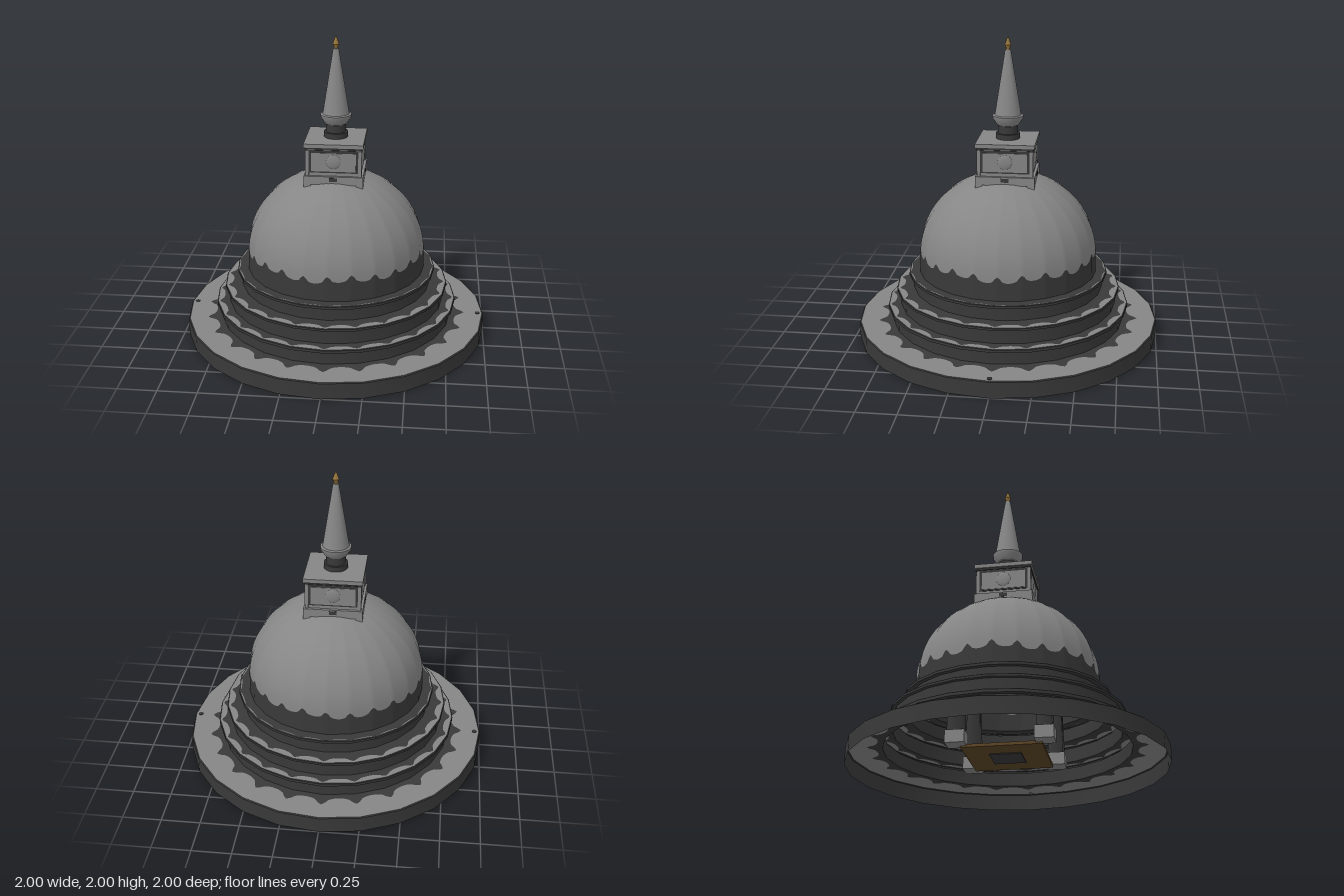
import * as THREE from 'three';
import { toCreasedNormals } from 'three/addons/utils/BufferGeometryUtils.js';

const SIDES = 24;
const mat = (name, color) => new THREE.MeshStandardMaterial({ name, color, side: THREE.DoubleSide });

export function createModel() {
  const group = new THREE.Group();
  const stone = mat('grey stone', 0x868686);
  const dark = mat('dark weathered stone', 0x393939);
  const gold = mat('gold', 0x94743c);
  const earth = mat('brown floor', 0x5c4526);

  const add = (name, geo, m, x = 0, y = 0, z = 0, parent = group) => {
    const mesh = new THREE.Mesh(geo, m);
    mesh.name = name;
    mesh.position.set(x, y, z);
    parent.add(mesh);
    return mesh;
  };
  const box = (name, w, h, d, m, x, y, z, parent) => add(name, new THREE.BoxGeometry(w, h, d), m, x, y, z, parent);
  const lathe = (name, pts, m, sides = SIDES) => add(name, toCreasedNormals(
    new THREE.LatheGeometry(pts.map(p => new THREE.Vector2(p[0], p[1])), sides), 0.6), m);

  // Scalloped edge of the weathering, one main crest at each corner of the plan
  const wave = a => {
    const c = Math.cos(a * SIDES);
    return Math.max(0, c) ** 2 * 0.7 + 0.3 * Math.cos(a * SIDES / 2) ** 2;
  };
  // Distance to the side of the many-sided plan, relative to its corners
  const facet = a => {
    const step = 2 * Math.PI / SIDES;
    return Math.cos(step / 2) / Math.cos((a % step) - step / 2);
  };
  // Surface around the axis; point(t, a) gives [radius, height]
  const around = (name, rows, point, m) => {
    const n = SIDES * 10, pos = [], idx = [];
    for (let j = 0; j <= rows; j++) {
      for (let i = 0; i < n; i++) {
        const a = i / n * 2 * Math.PI, [r, y] = point(j / rows, a);
        pos.push(r * facet(a) * Math.sin(a), y, r * facet(a) * Math.cos(a));
        if (j === rows) continue;
        const p = j * n + i, q = j * n + (i + 1) % n;
        idx.push(p, q, q + n, p, q + n, p + n);
      }
    }
    const g = new THREE.BufferGeometry();
    g.setAttribute('position', new THREE.Float32BufferAttribute(pos, 3));
    g.setIndex(idx);
    g.computeVertexNormals();
    add(name, g, m);
  };
  // Flat terrace: dark near the wall, pale outside, with a scalloped border
  const terrace = (name, outer, inner, y, edge, depth) => {
    const border = a => edge + depth * wave(a);
    around(name, 1, (t, a) => [outer + (border(a) - outer) * t, y], stone);
    around(name + 'Weathering', 1, (t, a) => [border(a) + (inner - border(a)) * t, y], dark);
  };

  // Base and three stepped tiers
  lathe('baseWall', [[1, 0], [1, 0.105], [0.993, 0.11]], dark);
  terrace('baseTop', 0.993, 0.775, 0.11, 0.815, 0.055);
  lathe('lowerTier', [[0.775, 0.11], [0.775, 0.2], [0.805, 0.2], [0.805, 0.218], [0.8, 0.222]], dark);
  terrace('lowerTierTop', 0.8, 0.72, 0.222, 0.758, 0.03);
  lathe('middleTier', [[0.72, 0.222], [0.72, 0.318], [0.745, 0.318], [0.745, 0.332], [0.74, 0.336]], dark);
  terrace('middleTierTop', 0.74, 0.63, 0.336, 0.695, 0.03);
  lathe('upperTier', [[0.63, 0.336], [0.63, 0.425], [0.66, 0.425], [0.66, 0.441], [0.655, 0.445]], dark);
  terrace('upperTierTop', 0.655, 0.588, 0.445, 0.645, 0.008);
  for (const s of [-1, 1]) {
    add('baseSpot', new THREE.CylinderGeometry(0.016, 0.016, 0.004, 10), dark, s * 0.962, 0.112, 0);
  }

  // Dome: weathered foot below a clean shell
  const domeRadius = y => y < 0.57 ? 0.585 + (0.57 - y) * 0.03
    : 0.585 * Math.sqrt(Math.max(0, 1 - ((y - 0.57) / 0.54) ** 2));
  const stain = a => 0.565 + 0.045 * wave(a) + 0.008 * Math.sin(a * 7);
  around('domeFoot', 4, (t, a) => {
    const y = 0.445 + (stain(a) - 0.445) * t;
    return [domeRadius(y), y];
  }, dark);
  around('dome', 18, (t, a) => {
    const y = stain(a) + (1.11 - stain(a)) * Math.sin(t * Math.PI / 2);
    return [domeRadius(y), y];
  }, stone);

  // Square chamber on the dome
  box('chamberFoot', 0.38, 0.055, 0.38, stone, 0, 1.098, 0);
  box('chamberBody', 0.345, 0.19, 0.345, stone, 0, 1.218, 0);
  box('chamberCap', 0.36, 0.014, 0.36, dark, 0, 1.308, 0);
  box('chamberRoof', 0.38, 0.027, 0.38, stone, 0, 1.326, 0);
  for (let k = 0; k < 4; k++) {
    const face = new THREE.Group();
    face.name = 'chamberFace';
    face.rotation.y = k * Math.PI / 2;
    group.add(face);
    box('panelBorder', 0.325, 0.15, 0.006, dark, 0, 1.222, 0.174, face);
    box('panel', 0.285, 0.122, 0.006, stone, 0, 1.218, 0.177, face);
    const disc = add('sunDisc', new THREE.SphereGeometry(0.048, 20, 12), stone, 0, 1.222, 0.178, face);
    disc.scale.z = 0.2;
    for (const s of [-1, 1]) {
      box('chamberPost', 0.022, 0.17, 0.022, stone, s * 0.169, 1.21, 0.169, face);
      box('footCorner', 0.045, 0.03, 0.02, stone, s * 0.167, 1.065, 0.18, face);
    }
    box('footStain', 0.05, 0.025, 0.006, dark, 0, 1.105, 0.19, face);
  }

  // Neck, spire and finial
  lathe('neck', [[0, 1.375], [0.078, 1.375], [0.078, 1.34]].reverse(), dark);
  lathe('neckDrum', [[0.064, 1.37], [0.064, 1.45]], dark);
  lathe('spire', [[0.06, 1.425], [0.072, 1.43], [0.098, 1.47], [0.1, 1.49], [0.086, 1.495],
    [0.083, 1.51], [0.018, 1.915], [0, 1.915]], stone);
  lathe('finial', [[0.01, 1.91], [0.014, 1.925], [0.021, 1.943], [0.017, 1.955], [0.009, 1.975], [0, 2]], gold, 12);

  // Inner shrine under the dome
  box('shrineFloor', 0.5, 0.02, 0.5, earth, 0, 0.08, 0);
  box('shrineFloorInlay', 0.2, 0.008, 0.2, dark, 0, 0.068, 0);
  for (const x of [-1, 1]) {
    for (const z of [-1, 1]) {
      box('shrineCorner', 0.12, 0.08, 0.12, stone, x * 0.27, 0.12, z * 0.27);
      const pillar = add('shrinePillar', new THREE.CylinderGeometry(0.05, 0.07, 0.5, 4), dark, x * 0.27, 0.41, z * 0.27);
      pillar.rotation.y = Math.PI / 4;
    }
  }
  return group;
}
